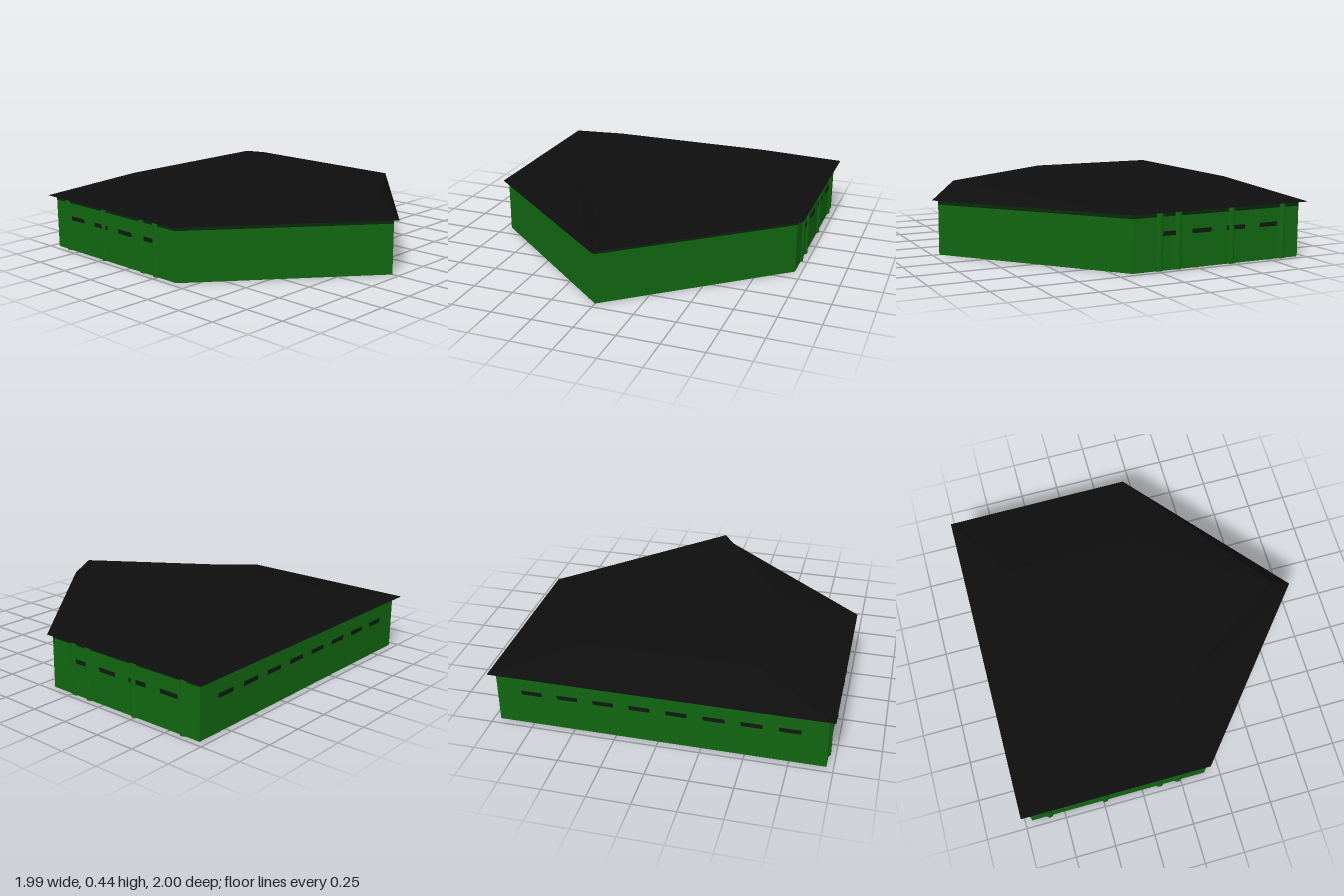
import * as THREE from 'three';

const mat = (name, color) => {
  const m = new THREE.MeshStandardMaterial({ color, side: THREE.DoubleSide });
  m.name = name;
  return m;
};

// Five-sided house outline as [x, z], counter-clockwise seen from above
const pentagon = (x, back, shoulder, apex) =>
  [[-x, shoulder], [0, apex], [x, shoulder], [x, back], [-x, back]];

// Extrude an outline upward; shape y is -z
function prism(points, hole, height) {
  const toV2 = (p) => new THREE.Vector2(p[0], -p[1]);
  const shape = new THREE.Shape(points.map(toV2));
  if (hole) shape.holes.push(new THREE.Path(hole.map(toV2)));
  const g = new THREE.ExtrudeGeometry(shape, { depth: height, bevelEnabled: false });
  return g.rotateX(-Math.PI / 2);
}

export function createModel() {
  const green = mat('wall green', 0x116611);
  const trim = mat('dark trim', 0x0b260d);
  const black = mat('roof black', 0x0e0e0e);
  const glass = mat('window dark', 0x0e1a0f);

  const house = new THREE.Group();
  house.name = 'house';
  const add = (name, geo, material, x = 0, y = 0, z = 0) => {
    const m = new THREE.Mesh(geo, material);
    m.name = name;
    m.position.set(x, y, z);
    house.add(m);
    return m;
  };

  // Walls, open underneath, with a dark band below the eaves
  const outer = pentagon(0.96, -0.957, 0.155, 0.957);
  const inner = pentagon(0.952, -0.949, 0.151, 0.947);
  add('walls', prism(outer, inner, 0.305), green);
  add('eavesBand', prism(outer, inner, 0.027), trim, 0, 0.305, 0);

  // Hipped roof: upper corners of a prism pulled in to the flat top
  const eaves = pentagon(0.995, -1, 0.165, 0.995);
  const flatTop = pentagon(0.52, -0.72, 0.09, 0.86);
  const roof = prism(eaves, null, 0.112);
  const pos = roof.attributes.position;
  for (let i = 0; i < pos.count; i++) {
    if (pos.getY(i) < 0.05) continue;
    const k = eaves.findIndex(([x, z]) => Math.hypot(x - pos.getX(i), z - pos.getZ(i)) < 0.01);
    pos.setX(i, flatTop[k][0]);
    pos.setZ(i, flatTop[k][1]);
  }
  roof.computeVertexNormals();
  add('roof', roof, black, 0, 0.332, 0);

  // Side columns and slit windows, mirrored
  const column = new THREE.CylinderGeometry(0.025, 0.025, 0.332, 16);
  const pane = new THREE.BoxGeometry(0.122, 0.025, 0.006);
  for (const s of [-1, 1]) {
    for (const z of [-0.017, -0.135, -0.487, -0.843]) {
      add('column', column, green, s * 0.947, 0.166, z);
    }
    for (let i = 0; i < 4; i++) {
      add('sideWindow', pane, glass, s * 0.96, 0.21, -0.06 - i * 0.228).rotation.y = Math.PI / 2;
    }
  }

  // Row of slit windows along the back
  for (let i = 0; i < 8; i++) {
    add('backWindow', pane, glass, (i - 3.5) * 0.214, 0.21, -0.957);
  }
  return house;
}
